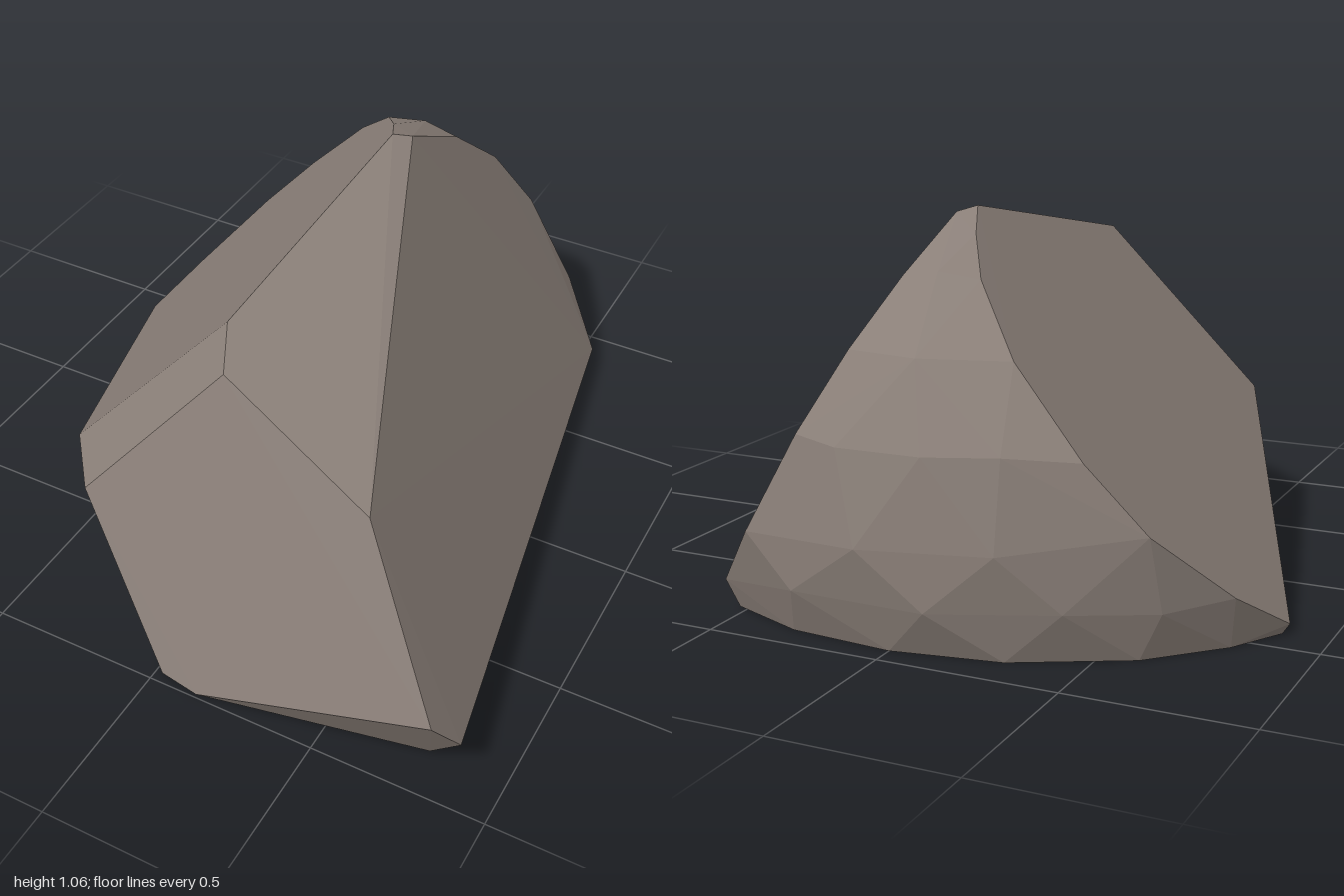
import * as THREE from 'three';
import { ConvexGeometry } from 'three/addons/geometries/ConvexGeometry.js';

// Heights of the two large flat slopes above a ground position
const onLeft = (x, z) => [x, (0.759 + 0.861 * x - 0.076 * z) / 0.79, z];
const onRight = (x, z) => [x, (0.436 - 0.562 * x + 0.1235 * z) / 0.319, z];

export function createModel() {
  const group = new THREE.Group();
  group.name = 'rock';
  const stone = new THREE.MeshStandardMaterial({ color: 0x8a7f78 });
  stone.name = 'stone';

  const corners = [
    // summit and front ridge
    [0.065, 1.06, -0.29], [0.11, 1.045, -0.33], [0, 0.91, 0.53], [0.07, 0.86, 0.67],
    // front face and its bevels
    [0.56, 0.69, 0.8], [0.84, 0.27, 1], [0.89, 0.155, 0.92],
    [-0.33, 0.38, 0.78], [-0.45, 0.41, 0.63],
    [0.02, 0, 0.97], [0.14, 0, 0.99], [0.78, 0, 0.86],
    // left slope: low corner and rounded back edge
    [-0.89, 0.03, -0.4], [-0.87, 0, -0.4],
    onLeft(-0.8, -0.58), onLeft(-0.64, -0.77), onLeft(-0.48, -0.81),
    onLeft(-0.27, -0.76), onLeft(-0.1, -0.6), onLeft(0, -0.43),
    // right slope: rounded back edge
    [0.56, 0.08, -0.84], onRight(0.42, -0.94), onRight(0.27, -0.92),
    onRight(0.18, -0.8), onRight(0.13, -0.6),
    // domed back, from top to bottom
    [0.02, 0.925, -0.61], [-0.03, 0.74, -0.83],
    [0.14, 0.52, -0.945], [-0.1, 0.52, -0.94], [-0.3, 0.53, -0.9],
    [0.06, 0.28, -1], [-0.3, 0.29, -0.94],
    [0.27, 0.13, -0.965], [-0.12, 0.13, -0.975], [-0.45, 0.14, -0.865], [-0.66, 0.13, -0.73],
    // underside rim at the back
    [0.53, 0, -0.82], [0.3, 0, -0.91], [0, 0, -0.935],
    [-0.3, 0, -0.885], [-0.6, 0, -0.73], [-0.78, 0, -0.55],
  ];

  // One faceted convex boulder
  const geometry = new ConvexGeometry(corners.map((p) => new THREE.Vector3(...p)));
  const boulder = new THREE.Mesh(geometry, stone);
  boulder.name = 'boulder';
  group.add(boulder);
  return group;
}
